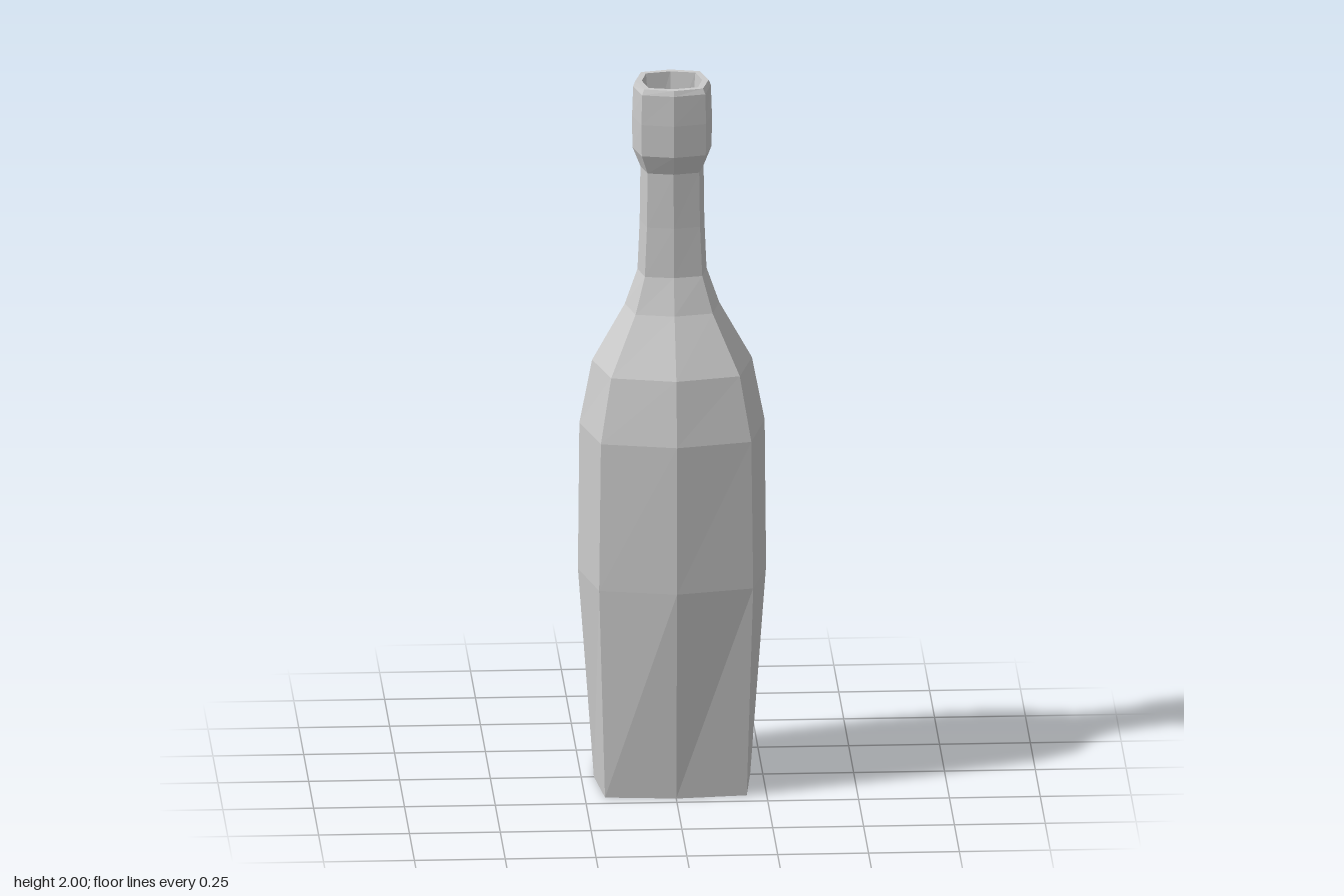
import * as THREE from 'three';

// Eight-sided ring: mid-side points at radius m, corners at (c, c)
function ring([y, m, c]) {
  const points = [];
  for (let k = 0; k < 8; k++) {
    const a = (k * Math.PI) / 4;
    const r = k % 2 ? c * Math.SQRT2 : m;
    points.push(new THREE.Vector3(r * Math.sin(a), y, r * Math.cos(a)));
  }
  return points;
}

// Faceted skin through a list of [height, mid-side radius, corner offset]
function loft(profile) {
  const rings = profile.map(ring);
  const corners = [];
  for (let i = 0; i < rings.length - 1; i++) {
    for (let k = 0; k < 8; k++) {
      const n = (k + 1) % 8;
      const a = rings[i][k], b = rings[i][n];
      const c = rings[i + 1][n], d = rings[i + 1][k];
      corners.push(a, b, c, a, c, d);
    }
  }
  const geometry = new THREE.BufferGeometry().setFromPoints(corners);
  geometry.computeVertexNormals();
  return geometry;
}

export function createModel() {
  const material = new THREE.MeshStandardMaterial({ color: 0xcccccc, flatShading: true });
  const bottle = new THREE.Group();
  bottle.name = 'bottle';

  const add = (name, profile) => {
    const mesh = new THREE.Mesh(loft(profile), material);
    mesh.name = name;
    bottle.add(mesh);
  };

  // Flat base and tapering body
  add('body', [
    [0, 0, 0], [0, 0.215, 0.195], [0.6, 0.259, 0.212], [1.02, 0.255, 0.207],
  ]);
  // Sloping shoulder
  add('shoulder', [
    [1.02, 0.255, 0.207], [1.2, 0.22, 0.177], [1.36, 0.13, 0.106], [1.46, 0.095, 0.079],
  ]);
  // Slim neck
  add('neck', [[1.46, 0.095, 0.079], [1.6, 0.089, 0.073], [1.755, 0.087, 0.071]]);
  // Thicker collar with a bevelled, flat lip
  add('collar', [
    [1.755, 0.087, 0.071], [1.81, 0.109, 0.088], [1.9, 0.11, 0.089],
    [1.985, 0.107, 0.087], [2, 0.101, 0.081], [2, 0.083, 0.068],
  ]);
  // Hollow mouth narrowing down to a dished floor
  add('mouth', [
    [2, 0.083, 0.068], [1.82, 0.062, 0.054], [1.76, 0.052, 0.047],
    [1.55, 0.043, 0.043], [1.52, 0, 0],
  ]);

  return bottle;
}
